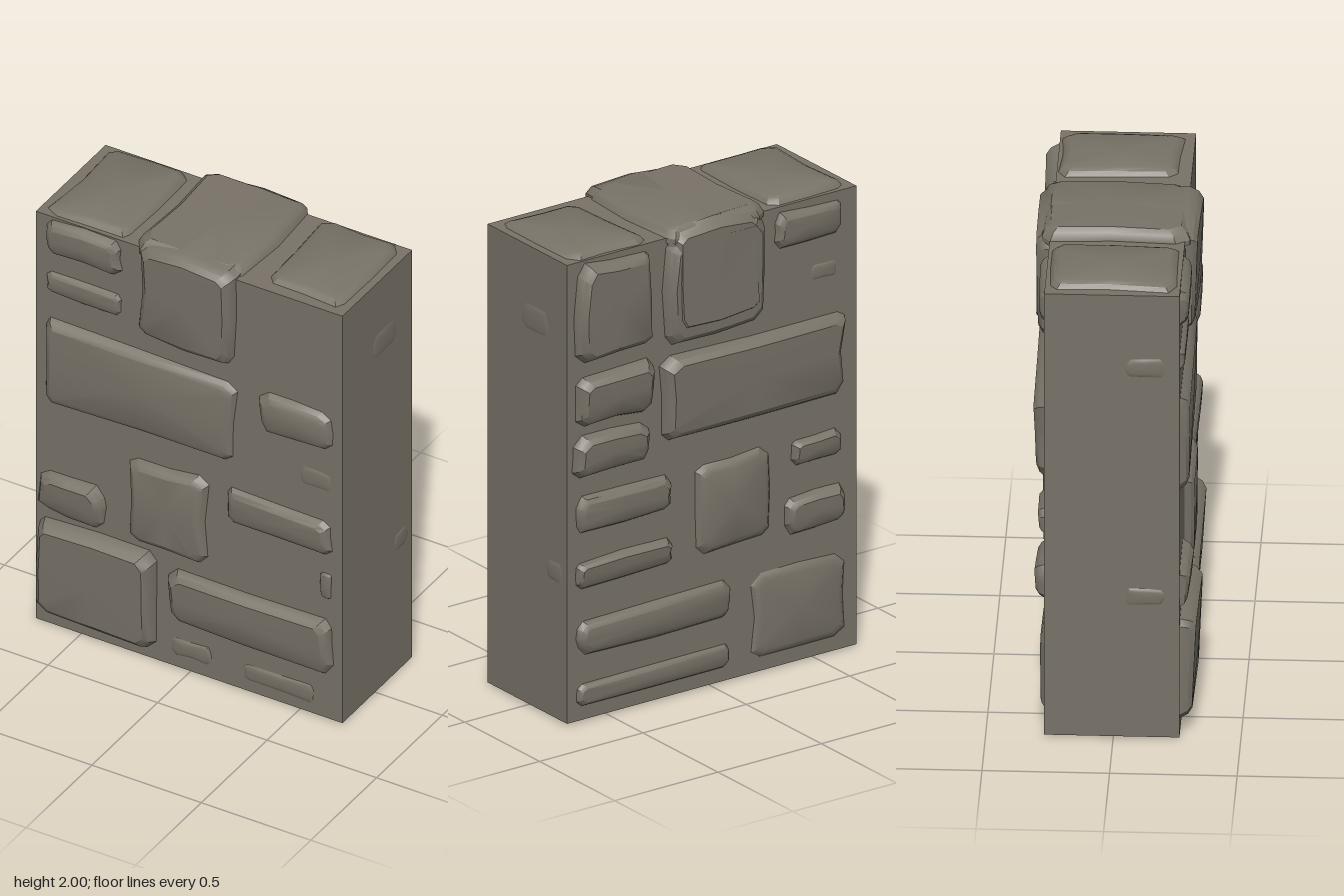
import * as THREE from 'three';
import { toCreasedNormals } from 'three/addons/utils/BufferGeometryUtils.js';

const stoneGrey = new THREE.MeshStandardMaterial({ color: 0x787267 });
stoneGrey.name = 'stone grey';

// small seeded generator for the uneven edges
let seed = 7;
const wobble = (a) => {
  seed = (seed * 16807) % 2147483647;
  return (seed / 2147483647 - 0.5) * 2 * a;
};

// A worn stone standing out along +z: rings of [height, inset] around a rounded outline.
function stoneGeometry(u0, u1, v0, v1, depth, back = 0.02) {
  const cu = (u0 + u1) / 2, cv = (v0 + v1) / 2, hu = (u1 - u0) / 2, hv = (v1 - v0) / 2;
  const small = Math.min(hu, hv);
  const cut = Math.min(0.035, small * 0.4), bevel = Math.min(0.035, small * 0.38);
  const jit = Math.min(0.012, small * 0.12);
  // outline, anticlockwise, three points on each side
  const outline = [
    [-hu + cut, -hv], [0, -hv], [hu - cut, -hv], [hu, -hv + cut], [hu, 0], [hu, hv - cut],
    [hu - cut, hv], [0, hv], [-hu + cut, hv], [-hu, hv - cut], [-hu, 0], [-hu, -hv + cut],
  ].map(([u, v]) => [u + wobble(jit), v + wobble(jit)]);
  const n = outline.length;
  const tiltU = wobble(depth * 0.12), tiltV = depth * 0.1 + wobble(depth * 0.08);
  const rings = [[-back, back > 0.1 ? bevel : 0]];
  if (back > 0.1) rings.push([-back + depth, 0]);
  rings.push([0, 0], [depth * 0.6, bevel * 0.4], [depth * 0.92, bevel]);
  const pos = [], index = [];
  for (const [w, inset] of rings) {
    for (const [u, v] of outline) {
      const tilt = w > 0 ? (tiltU * u / hu + tiltV * v / hv) * w / depth : 0;
      pos.push(cu + u * (1 - inset / hu), cv + v * (1 - inset / hv), w + tilt);
    }
  }
  const rear = pos.length / 3;
  pos.push(cu, cv, -back, cu, cv, depth);
  const last = (rings.length - 1) * n;
  for (let i = 0; i < n; i++) {
    const j = (i + 1) % n;
    for (let r = 0; r < last; r += n) {
      index.push(r + i, r + j, r + n + j, r + i, r + n + j, r + n + i);
    }
    index.push(rear, j, i, rear + 1, last + i, last + j);
  }
  const g = new THREE.BufferGeometry();
  g.setAttribute('position', new THREE.Float32BufferAttribute(pos, 3));
  g.setIndex(index);
  return toCreasedNormals(g, 0.5);
}

// Stones of one side: [u0, u1, v0, v1, depth, back]
function side(name, stones, position, rotation) {
  const group = new THREE.Group();
  group.name = name;
  stones.forEach((s, i) => {
    const mesh = new THREE.Mesh(stoneGeometry(...s), stoneGrey);
    mesh.name = `${name} ${i + 1}`;
    group.add(mesh);
  });
  group.position.set(...position);
  group.rotation.set(...rotation);
  return group;
}

export function createModel() {
  seed = 7;
  const model = new THREE.Group();
  model.name = 'stone wall block';

  // mortar core
  const core = new THREE.Mesh(new THREE.BoxGeometry(1.4, 1.94, 0.53), stoneGrey);
  core.name = 'wall core';
  core.position.set(0, 0.98, -0.005);
  model.add(core);

  model.add(side('frontStone', [
    [-0.22, 0.21, 1.54, 1.99, 0.05, 0.585], // cap stone running through the wall
    [-0.65, -0.31, 1.78, 1.94, 0.035],
    [-0.65, -0.31, 1.59, 1.69, 0.02],
    [-0.66, 0.21, 1.07, 1.46, 0.035],
    [0.33, 0.65, 1.29, 1.46, 0.035],
    [0.51, 0.65, 1.09, 1.17, 0.005],
    [-0.27, 0.08, 0.55, 0.95, 0.04],
    [0.17, 0.65, 0.79, 0.95, 0.03],
    [-0.68, -0.38, 0.55, 0.74, 0.04],
    [0.6, 0.65, 0.58, 0.7, 0.01],
    [-0.69, -0.15, 0.06, 0.51, 0.062],
    [-0.09, 0.65, 0.23, 0.48, 0.045],
    [-0.08, 0.1, 0.07, 0.15, 0.008],
    [0.25, 0.57, 0.06, 0.14, 0.008],
  ], [0, 0, 0.26], [0, 0, 0]));

  model.add(side('backStone', [
    [-0.66, -0.3, 1.52, 1.93, 0.05],
    [-0.23, 0.24, 1.5, 1.95, 0.055],
    [0.3, 0.63, 1.78, 1.92, 0.03],
    [0.48, 0.6, 1.6, 1.66, 0.005],
    [-0.66, -0.29, 1.25, 1.46, 0.05],
    [-0.67, -0.31, 1.04, 1.21, 0.045],
    [-0.66, -0.2, 0.8, 0.95, 0.035],
    [-0.66, -0.2, 0.57, 0.68, 0.03],
    [-0.65, 0.08, 0.28, 0.43, 0.03],
    [-0.65, 0.08, 0.07, 0.16, 0.02],
    [-0.25, 0.63, 1.1, 1.45, 0.05],
    [-0.08, 0.27, 0.58, 0.95, 0.03],
    [0.38, 0.62, 0.84, 0.95, 0.03],
    [0.35, 0.64, 0.56, 0.71, 0.04],
    [0.2, 0.63, 0.06, 0.42, 0.02],
  ], [0, 0, -0.27], [0, Math.PI, 0]));

  model.add(side('topStone', [
    [-0.66, -0.29, -0.25, 0.26, 0.03],
    [-0.24, 0.23, -0.27, 0.31, 0.046],
    [0.31, 0.67, -0.21, 0.26, 0.028],
  ], [0, 1.95, 0], [-Math.PI / 2, 0, 0]));

  // stones barely breaking the narrow ends and the underside
  model.add(side('rightEndStone', [
    [-0.02, 0.14, 1.6, 1.7, 0.004],
    [0.14, 0.23, 0.59, 0.67, 0.004],
  ], [0.7, 0, 0], [0, Math.PI / 2, 0]));
  model.add(side('leftEndStone', [
    [0.05, 0.2, 1.59, 1.67, 0.006],
    [0.05, 0.2, 0.59, 0.66, 0.006],
  ], [-0.7, 0, 0], [0, -Math.PI / 2, 0]));
  model.add(side('undersideStone', [
    [0.2, 0.55, -0.1, 0.08, 0.009],
  ], [0, 0.01, 0], [Math.PI / 2, 0, 0]));

  return model;
}
